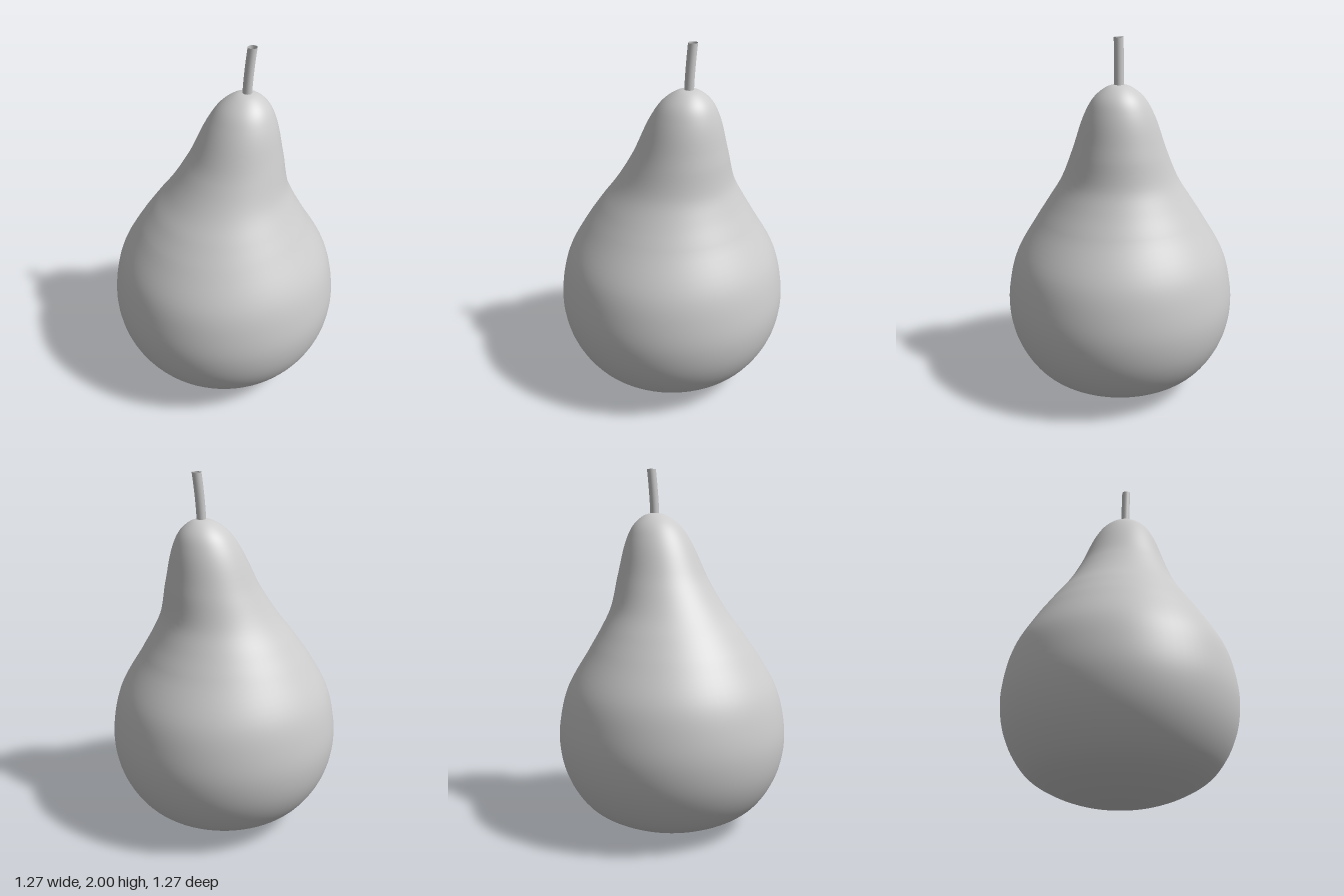
import * as THREE from 'three';
import { mergeVertices } from 'three/addons/utils/BufferGeometryUtils.js';

const spline = (pairs) =>
  new THREE.CatmullRomCurve3(pairs.map(([a, b]) => new THREE.Vector3(a, b, 0)), false, 'centripetal');

// Sideways lean of the neck at height y
const lean = [[0, 0], [1.0, 0], [1.12, 0.01], [1.24, 0.03], [1.4, 0.07], [1.6, 0.1], [1.7, 0.115], [1.8, 0.13]];
function leanAt(y) {
  for (let i = 1; i < lean.length; i++) {
    const [y0, x0] = lean[i - 1];
    const [y1, x1] = lean[i];
    if (y <= y1) return THREE.MathUtils.lerp(x0, x1, (y - y0) / (y1 - y0));
  }
  return 0.13;
}

export function createModel() {
  const model = new THREE.Group();
  model.name = 'pear';
  const skin = new THREE.MeshStandardMaterial({ color: 0xcccccc });
  skin.name = 'light grey';
  skin.side = THREE.DoubleSide;

  // Body: a turned profile (radius, height) whose neck is pushed to one side
  const profile = spline([
    [0, 0.006], [0.12, 0.004], [0.2, 0.014], [0.34, 0.06], [0.47, 0.135], [0.55, 0.23], [0.61, 0.36],
    [0.635, 0.51], [0.622, 0.66], [0.58, 0.81], [0.47, 1.0], [0.4, 1.11], [0.32, 1.24], [0.255, 1.4],
    [0.185, 1.6], [0.13, 1.695], [0.06, 1.75], [0, 1.765],
  ]).getPoints(90).map((p) => new THREE.Vector2(Math.max(0, p.x), Math.max(0, p.y)));
  let bodyGeometry = new THREE.LatheGeometry(profile, 72);
  const pos = bodyGeometry.attributes.position;
  for (let i = 0; i < pos.count; i++) pos.setX(i, pos.getX(i) + leanAt(pos.getY(i)));
  bodyGeometry.deleteAttribute('uv');
  bodyGeometry.deleteAttribute('normal');
  bodyGeometry = mergeVertices(bodyGeometry, 1e-5);
  bodyGeometry.computeVertexNormals();
  const body = new THREE.Mesh(bodyGeometry, skin);
  body.name = 'body';
  model.add(body);

  // Stem: an open tube that bends gently away from the neck
  const stemGeometry = new THREE.CylinderGeometry(0.025, 0.025, 0.26, 20, 8, true);
  stemGeometry.translate(0, 1.87, 0);
  const stemPos = stemGeometry.attributes.position;
  for (let i = 0; i < stemPos.count; i++) {
    const t = (stemPos.getY(i) - 1.74) / 0.26;
    stemPos.setX(i, stemPos.getX(i) + 0.127 + 0.024 * Math.pow(t, 1.5));
  }
  const stem = new THREE.Mesh(stemGeometry, skin);
  stem.name = 'stem';
  model.add(stem);

  return model;
}
